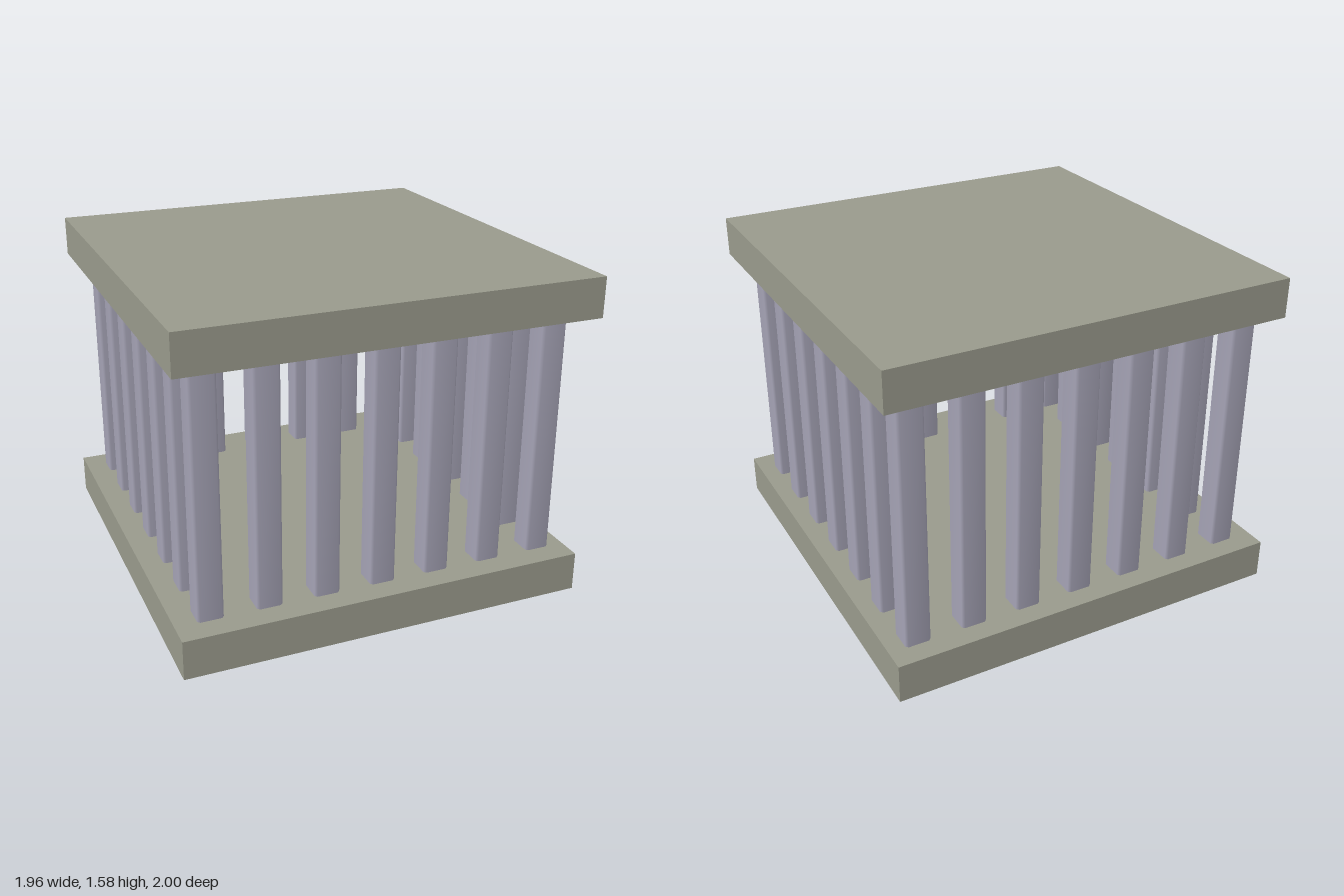
import * as THREE from 'three';
import { mergeVertices } from 'three/addons/utils/BufferGeometryUtils.js';

const SLAB_H = 0.19, SLAB_W = 1.96, SLAB_D = 1.97;
const COLUMN_H = 1.2, HALF = 0.061, BEVEL = 0.012;
const COUNT = 7;

// Square post with narrow chamfered edges and softened normals; its ends are hidden by the slabs
function columnGeometry() {
  const geo = new THREE.CylinderGeometry(1, 1, COLUMN_H, 8, 1, true);
  geo.rotateY(Math.PI / 8);
  const pos = geo.attributes.position;
  const snap = (v) => Math.sign(v) * (Math.abs(v) > 0.7 ? HALF : HALF - BEVEL);
  for (let i = 0; i < pos.count; i++) {
    pos.setX(i, snap(pos.getX(i)));
    pos.setZ(i, snap(pos.getZ(i)));
  }
  geo.deleteAttribute('uv');
  geo.deleteAttribute('normal');
  const welded = mergeVertices(geo);
  welded.computeVertexNormals();
  return welded;
}

export function createModel() {
  const model = new THREE.Group();
  model.name = 'pavilion';
  const stone = new THREE.MeshStandardMaterial({ color: 0x999a8c });
  const columnStone = new THREE.MeshStandardMaterial({ color: 0xa4a2b4 });

  // Floor and roof slabs, slightly offset from each other in depth
  const slabGeo = new THREE.BoxGeometry(SLAB_W, SLAB_H, SLAB_D);
  const addSlab = (name, y, z) => {
    const slab = new THREE.Mesh(slabGeo, stone);
    slab.name = name;
    slab.position.set(0, y, z);
    model.add(slab);
  };
  addSlab('floorSlab', SLAB_H / 2, -0.015);
  addSlab('roofSlab', SLAB_H * 1.5 + COLUMN_H, 0.015);

  // Ring of columns around the perimeter, open in the middle
  const columns = new THREE.Group();
  columns.name = 'columns';
  const geo = columnGeometry();
  const last = COUNT - 1;
  for (let i = 0; i < COUNT; i++) {
    for (let j = 0; j < COUNT; j++) {
      if (i % last !== 0 && j % last !== 0) continue;
      const column = new THREE.Mesh(geo, columnStone);
      column.name = 'column';
      column.position.set(-0.815 + i * 0.2755, SLAB_H + COLUMN_H / 2, 0.795 - j * 0.2725);
      columns.add(column);
    }
  }
  model.add(columns);
  return model;
}
